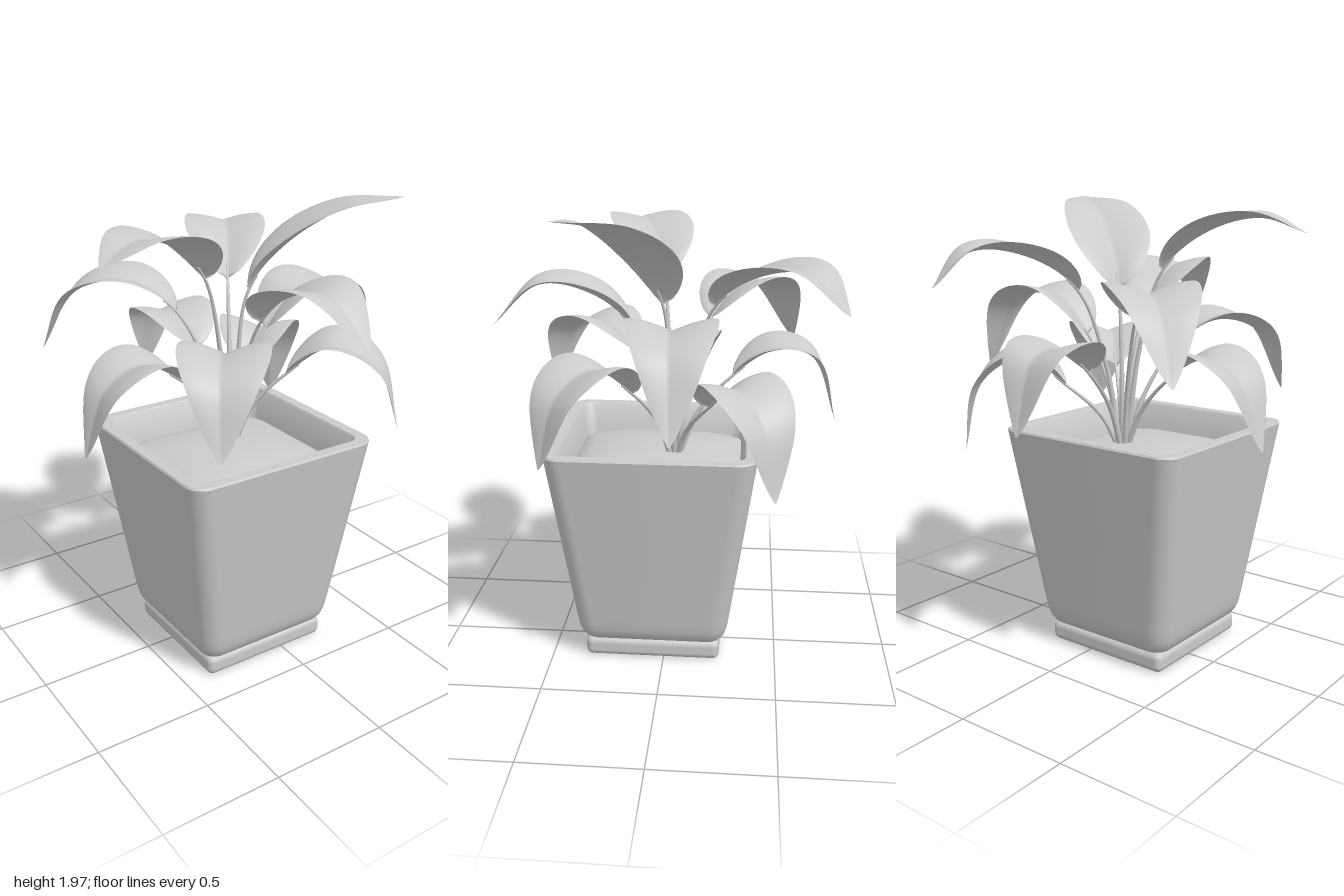
import * as THREE from 'three';
import { toCreasedNormals } from 'three/addons/utils/BufferGeometryUtils.js';
import { RoundedBoxGeometry } from 'three/addons/geometries/RoundedBoxGeometry.js';
import { ParametricGeometry } from 'three/addons/geometries/ParametricGeometry.js';

const material = new THREE.MeshStandardMaterial({ color: 0xcccccc });
const leafMaterial = new THREE.MeshStandardMaterial({ color: 0xcccccc, side: THREE.DoubleSide });
const POT = new THREE.Vector3(-0.09, 0, 0.05);
const ROOT = new THREE.Vector3(-0.03, 0.88, -0.03);

function part(name, geometry, mat = material) {
  const mesh = new THREE.Mesh(geometry, mat);
  mesh.name = name;
  return mesh;
}

// Skin of rounded squares; each row is [half width, y, corner radius]
function squareLathe(rows, crease) {
  const steps = 8, n = 4 * (steps + 1);
  const positions = [], index = [];
  for (const [half, y, r] of rows) {
    for (let c = 0; c < 4; c++) {
      const mid = (c + 0.5) * Math.PI / 2;
      const cx = Math.sign(Math.cos(mid)) * (half - r), cz = Math.sign(Math.sin(mid)) * (half - r);
      for (let k = 0; k <= steps; k++) {
        const a = (c + k / steps) * Math.PI / 2;
        positions.push(cx + r * Math.cos(a), y, cz + r * Math.sin(a));
      }
    }
  }
  for (let i = 0; i < rows.length - 1; i++) {
    for (let j = 0; j < n; j++) {
      const a = i * n + j, b = i * n + (j + 1) % n;
      index.push(a, a + n, b, b, a + n, b + n);
    }
  }
  const geo = new THREE.BufferGeometry();
  geo.setAttribute('position', new THREE.Float32BufferAttribute(positions, 3));
  geo.setIndex(index);
  return toCreasedNormals(geo, crease);
}

// Each leaf: tip x, tip z, then [fraction of reach, y] for blade base, two midrib points and tip
const LEAVES = [
  [0.54, 0.38, [0.11, 1.58], [0.32, 1.77], [0.66, 1.92], [1, 1.97]],
  [-0.75, 0.23, [0.22, 1.66], [0.46, 1.82], [0.75, 1.88], [1, 1.82]],
  [0.38, -0.73, [0.25, 1.58], [0.5, 1.72], [0.8, 1.75], [1, 1.61]],
  [-0.66, -0.56, [0.28, 1.48], [0.52, 1.6], [0.8, 1.56], [1, 1.3]],
  [0.09, 0.73, [0.24, 1.48], [0.46, 1.62], [0.74, 1.66], [1, 1.49]],
  [-0.06, -0.73, [0.36, 1.26], [0.6, 1.37], [0.84, 1.35], [1, 1.07]],
  [0.74, -0.07, [0.25, 1.38], [0.5, 1.54], [0.8, 1.49], [1, 1.19]],
  [-0.73, -0.04, [0.36, 1.23], [0.6, 1.32], [0.84, 1.25], [1, 0.98]],
  [-0.47, 0.57, [0.33, 1.34], [0.58, 1.44], [0.84, 1.38], [1, 1.12]],
  [0.5, 0.47, [0.33, 1.22], [0.6, 1.35], [0.86, 1.27], [1, 1.0]],
  [0.5, -0.47, [0.36, 1.17], [0.62, 1.29], [0.88, 1.19], [1, 0.89]],
];

function makeLeaf([tipX, tipZ, base, ...midrib]) {
  const leaf = new THREE.Group();
  leaf.name = 'leaf';
  const dx = tipX - ROOT.x, dz = tipZ - ROOT.z;
  const at = ([f, y]) => new THREE.Vector3(ROOT.x + dx * f, y, ROOT.z + dz * f);
  const stemMid = [base[0] * 0.4, ROOT.y + (base[1] - ROOT.y) * 0.55];
  const curve = new THREE.CatmullRomCurve3([[0.02, ROOT.y], stemMid, base, ...midrib].map(at));
  const bladeStart = 0.4;
  const side = new THREE.Vector3(-dz, 0, dx).normalize();

  // Petiole, thinning towards the blade and running on a little as its midrib
  const stem = new ParametricGeometry((u, v, target) => {
    const t = u * (bladeStart + 0.06);
    const tangent = curve.getTangent(t);
    const normal = side.clone().cross(tangent);
    const a = v * Math.PI * 2, r = 0.014 - 0.009 * u;
    target.copy(curve.getPoint(t))
      .addScaledVector(side, r * Math.cos(a)).addScaledVector(normal, r * Math.sin(a));
  }, 20, 8);
  leaf.add(part('stem', stem, leafMaterial));

  // Blade: folded along the midrib, deeply at the base and softly at the tip
  const blade = new ParametricGeometry((u, v, target) => {
    const t = bladeStart + (1 - bladeStart) * u;
    const normal = side.clone().cross(curve.getTangent(t));
    const width = 0.004 + 0.178 * Math.pow(Math.max(0, Math.sin(Math.PI * Math.pow(u, 0.78))), 0.88);
    const across = v * 2 - 1, d = Math.abs(across);
    const fold = (0.55 - 0.42 * u) * (d - 0.35 * d * d * d);
    target.copy(curve.getPoint(t))
      .addScaledVector(side, width * across).addScaledVector(normal, width * fold);
  }, 32, 16);
  leaf.add(part('blade', blade, leafMaterial));
  return leaf;
}

export function createModel() {
  const model = new THREE.Group();
  model.name = 'pottedPlant';

  const foot = part('potFoot', new RoundedBoxGeometry(0.6, 0.09, 0.6, 4, 0.03));
  foot.position.copy(POT).setY(0.045);
  model.add(foot);

  // Tapered pot with rounded bottom, thick rim and hollow inside
  const pot = part('pot', squareLathe([
    [0.001, 0.085, 0.001], [0.285, 0.085, 0.05], [0.305, 0.096, 0.065], [0.322, 0.118, 0.075],
    [0.333, 0.15, 0.08], [0.341, 0.2, 0.08], [0.447, 0.972, 0.08], [0.449, 0.984, 0.08],
    [0.444, 0.992, 0.076], [0.4, 0.992, 0.055], [0.393, 0.984, 0.052],
    [0.372, 0.82, 0.05], [0.001, 0.82, 0.001],
  ], 0.7));
  pot.position.copy(POT);
  model.add(pot);

  // Gently mounded soil
  const soil = part('soil', squareLathe([
    [0.374, 0.84, 0.06], [0.35, 0.865, 0.12], [0.3, 0.89, 0.18],
    [0.2, 0.91, 0.15], [0.1, 0.918, 0.09], [0.001, 0.92, 0.001],
  ], 1));
  soil.position.copy(POT);
  model.add(soil);

  const foliage = new THREE.Group();
  foliage.name = 'foliage';
  for (const data of LEAVES) foliage.add(makeLeaf(data));
  model.add(foliage);
  return model;
}
